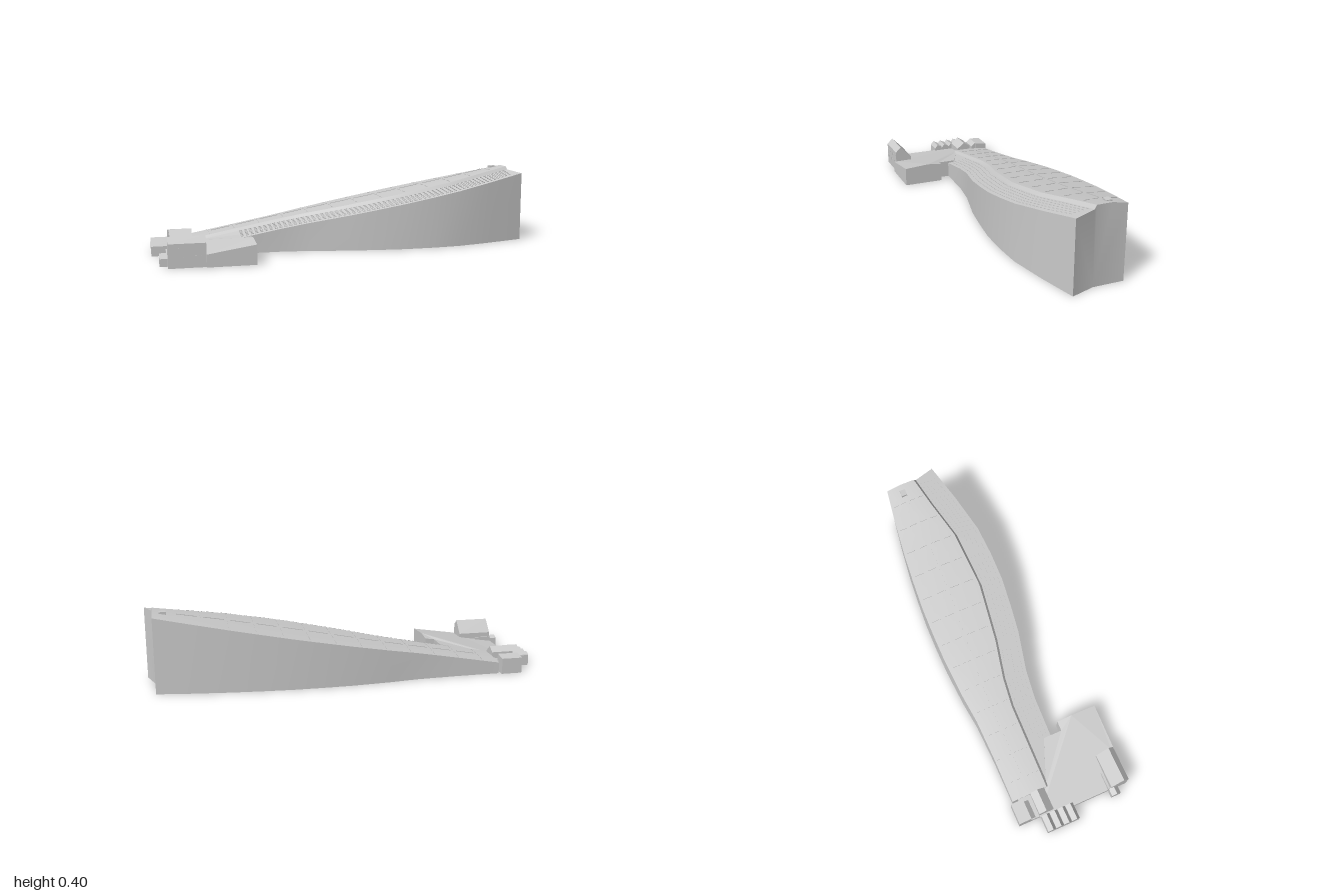
import * as THREE from 'three';
import { toCreasedNormals } from 'three/addons/utils/BufferGeometryUtils.js';

const mat = new THREE.MeshStandardMaterial({ color: 0xcccccc, side: THREE.DoubleSide });

// Hillside stations: x, back edge z, ridge z, front edge z
const stations = [
  [-0.79, -0.28, -0.09, 0.04], [-0.56, -0.281, -0.09, 0.04], [-0.35, -0.288, -0.09, 0.043],
  [-0.2, -0.305, -0.073, 0.06], [0, -0.318, -0.03, 0.105], [0.15, -0.32, -0.01, 0.125],
  [0.3, -0.318, 0.01, 0.14], [0.45, -0.308, 0.003, 0.14], [0.6, -0.295, -0.005, 0.13],
  [0.8, -0.27, -0.055, 0.085], [0.96, -0.245, -0.09, 0.03],
];
const STEP = 0.012;
const backY = (x) => 0.203 + 0.184 * x;
const ridgeY = (x) => 0.215 + 0.188 * x;
const footY = (x) => 0.2 + 0.186 * x;
const frontY = (x) => 0.184 + 0.185 * x;

function edgesAt(x) {
  let i = 0;
  while (i < stations.length - 2 && x > stations[i + 1][0]) i++;
  const [a, b] = [stations[i], stations[i + 1]];
  const t = (x - a[0]) / (b[0] - a[0]);
  return a.map((v, k) => v + (b[k] - v) * t);
}

// Point on the upper (back) or lower (front) field, t running from back to front
function backPoint(x, t) {
  const [, b, r] = edgesAt(x);
  return new THREE.Vector3(x, backY(x) + (ridgeY(x) - backY(x)) * Math.min(1, t * 2), b + (r - b) * t);
}
function frontPoint(x, t) {
  const [, , r, f] = edgesAt(x);
  const z0 = r + STEP;
  return new THREE.Vector3(x, footY(x) + (frontY(x) - footY(x)) * t, z0 + (f - z0) * t);
}

function add(group, name, geometry) {
  const mesh = new THREE.Mesh(geometry, mat);
  mesh.name = name;
  group.add(mesh);
  return mesh;
}

// Hillside lofted from its cross-sections
function hillside() {
  const pos = [], idx = [], n = 8;
  stations.forEach(([x, b, r, f], i) => {
    const fx = i === stations.length - 1 ? 1 : x;
    const m = (b + r) / 2;
    pos.push(x, 0, b, x, backY(x), b, x, ridgeY(x), m, x, ridgeY(x), r,
      x + (fx - x) * 0.1, footY(x), r + STEP, fx, frontY(fx), f, fx, 0, f, x, 0, r);
  });
  for (let i = 0; i < stations.length - 1; i++) {
    for (let j = 0; j < n; j++) {
      const a = i * n + j, b = i * n + ((j + 1) % n);
      idx.push(a, b, a + n, b, b + n, a + n);
    }
  }
  const last = (stations.length - 1) * n;
  for (let j = 0; j < n - 2; j++) {
    idx.push(7, j + 1, j);
    idx.push(last + 7, last + j, last + j + 1);
  }
  const geo = new THREE.BufferGeometry();
  geo.setAttribute('position', new THREE.Float32BufferAttribute(pos, 3));
  geo.setIndex(idx);
  return toCreasedNormals(geo, 0.4);
}

// Gently sloping ground slab cut from an outline of [x, z]
function terrace(outline) {
  const shape = new THREE.Shape(outline.map(([x, z]) => new THREE.Vector2(x, -z)));
  const geo = new THREE.ExtrudeGeometry(shape, { depth: 1, bevelEnabled: false });
  geo.rotateX(-Math.PI / 2);
  const p = geo.attributes.position;
  for (let i = 0; i < p.count; i++) {
    if (p.getY(i) < 0.5) continue;
    const bulge = Math.abs(p.getZ(i) - 0.18) < 0.001 && p.getX(i) > -0.6 ? 0.01 : 0;
    p.setY(i, 0.179 + 0.155 * p.getX(i) + bulge);
  }
  geo.computeVertexNormals();
  return geo;
}

// Building with a [z, y] profile running along x
function prism(x0, x1, profile) {
  const shape = new THREE.Shape(profile.map(([z, y]) => new THREE.Vector2(-z, y)));
  const geo = new THREE.ExtrudeGeometry(shape, { depth: x1 - x0, bevelEnabled: false });
  geo.rotateY(Math.PI / 2);
  geo.translate(x0, 0, 0);
  return geo;
}

// Many thin upright strips gathered into one mesh; each strip is [start, end]
function strips(segments, height) {
  const pos = [];
  for (const [a, b] of segments) {
    pos.push(a.x, a.y, a.z, b.x, b.y, b.z, b.x, b.y + height, b.z,
      a.x, a.y, a.z, b.x, b.y + height, b.z, a.x, a.y + height, a.z);
  }
  const geo = new THREE.BufferGeometry();
  geo.setAttribute('position', new THREE.Float32BufferAttribute(pos, 3));
  geo.computeVertexNormals();
  return geo;
}

export function createModel() {
  const model = new THREE.Group();
  model.name = 'hillsideEstate';

  add(model, 'hillside', hillside());
  add(model, 'courtyardGround', terrace([
    [-0.93, 0.3], [-0.75, 0.3], [-0.75, 0.315], [-0.51, 0.315], [-0.51, 0.18], [-0.51, 0.1],
    [-0.56, 0.1], [-0.56, 0], [-0.785, -0.09], [-0.785, -0.25], [-0.91, -0.25], [-0.91, -0.18], [-0.93, -0.17],
  ]));

  // Planted rows on the lower field
  const rows = [];
  for (let k = 0; k < 5; k++) {
    for (let i = 0; i < 60; i++) {
      const x = -0.55 + i * 0.025, t = 0.12 + k * 0.18;
      rows.push([frontPoint(x, t), frontPoint(x + 0.015, t)]);
    }
  }
  add(model, 'lowerRows', strips(rows, 0.004));

  // Dividing fences on the upper field
  const fences = [];
  for (let i = 0; i < 13; i++) {
    const x = -0.7 + i * 0.13;
    for (const t of [0.06, 0.3, 0.54, 0.78]) fences.push([backPoint(x, t), backPoint(x, t + 0.16)]);
    if (i < 12) fences.push([backPoint(x + 0.015, 0.5), backPoint(x + 0.115, 0.5)]);
  }
  add(model, 'upperFences', strips(fences, 0.003));

  // Hut at the top of the hill
  const hut = add(model, 'hilltopHut', new THREE.BoxGeometry(0.035, 0.03, 0.03));
  hut.position.set(0.91, 0.378, -0.17);

  // Front house with its annex, garden wall and windows
  add(model, 'frontHouse', prism(-0.93, -0.75,
    [[0.302, 0], [0.302, 0.118], [0.272, 0.148], [0.21, 0.083], [0.21, 0]]));
  add(model, 'frontAnnex', prism(-0.968, -0.925,
    [[0.25, 0], [0.25, 0.038], [0.226, 0.062], [0.2, 0.05], [0.2, 0]]));
  const wall = add(model, 'gardenWall', new THREE.BoxGeometry(0.09, 0.06, 0.008));
  wall.position.set(-0.885, 0.03, 0.2);
  for (let row = 0; row < 2; row++) {
    for (let i = 0; i < 6; i++) {
      const pane = add(model, 'window', new THREE.BoxGeometry(0.01, 0.015, 0.002));
      pane.position.set(-0.91 + i * 0.028, 0.05 + row * 0.038, 0.302);
    }
  }

  // Rear house, rear block and lean-to
  add(model, 'rearHouse', prism(-0.905, -0.79,
    [[-0.105, 0], [-0.105, 0.075], [-0.145, 0.108], [-0.183, 0.085], [-0.183, 0]]));
  add(model, 'rearBlock', prism(-0.91, -0.802,
    [[-0.23, 0], [-0.23, 0.09], [-0.295, 0.082], [-0.295, 0]]));
  add(model, 'leanTo', prism(-0.905, -0.815,
    [[-0.205, 0], [-0.205, 0.07], [-0.23, 0.09], [-0.23, 0]]));

  // Workshop with a sawtooth roof
  const saw = [[0, 0]];
  for (let i = 0; i < 4; i++) {
    const z = -i * 0.044;
    saw.push([z, 0.05], [z - 0.016, 0.07], [z - 0.043, 0.058]);
  }
  saw.push([-0.176, 0.055], [-0.176, 0]);
  add(model, 'sawtoothWorkshop', prism(-1, -0.915, saw));

  return model;
}
